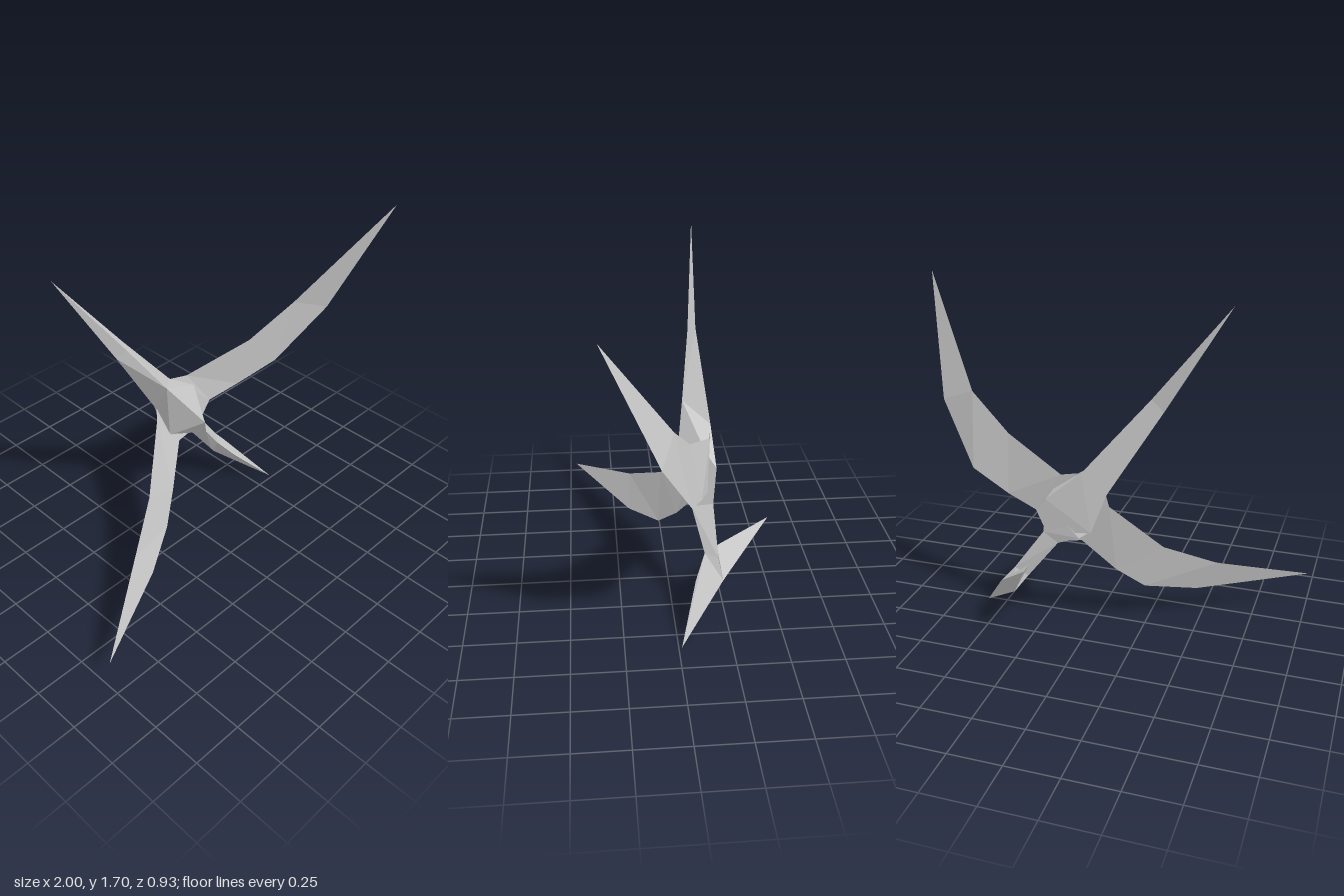
import * as THREE from 'three';
import { ConvexGeometry } from 'three/addons/geometries/ConvexGeometry.js';

export function createModel() {
  const group = new THREE.Group();
  const grey = new THREE.MeshStandardMaterial({ color: 0xcccccc, side: THREE.DoubleSide });
  grey.name = 'plain grey';
  grey.flatShading = true;

  const add = (name, geometry) => {
    const mesh = new THREE.Mesh(geometry, grey);
    mesh.name = name;
    group.add(mesh);
  };
  // Faceted solid wrapped around a few corner points
  const solid = (name, points) =>
    add(name, new ConvexGeometry(points.map(p => new THREE.Vector3(...p))));
  // Thin sheet lofted between a leading and a trailing edge
  const sheet = (name, lead, trail) => {
    const pos = [];
    for (let i = 0; i < lead.length - 1; i++) {
      pos.push(...lead[i], ...trail[i], ...trail[i + 1]);
      pos.push(...lead[i], ...trail[i + 1], ...lead[i + 1]);
    }
    const g = new THREE.BufferGeometry();
    g.setAttribute('position', new THREE.Float32BufferAttribute(pos, 3));
    g.computeVertexNormals();
    add(name, g);
  };

  // Shared cross-sections from bill to tail
  const billTip = [-0.66, 1.7, -0.175];
  const billBase = [[-0.36, 1.19, -0.15], [-0.305, 1.25, -0.163], [-0.32, 1.23, -0.125]];
  const throat = [-0.12, 0.94, -0.08];
  const shoulders = [[0.015, 0.87, -0.205], [-0.105, 0.77, -0.19]];
  const belly = [0.09, 0.65, -0.03];
  const hips = [[0.21, 0.54, -0.2], [0.14, 0.485, -0.19], [0.17, 0.51, -0.1]];
  const tailBase = [[0.36, 0.33, -0.21], [0.3, 0.28, -0.19], [0.31, 0.33, -0.15]];
  const notch = [[0.43, 0.25, -0.225], [0.36, 0.2, -0.225]];

  // Bill, neck and body
  solid('bill', [billTip, ...billBase]);
  solid('neck', [...billBase, ...shoulders, throat]);
  solid('body', [
    throat, ...shoulders, belly, [0.19, 0.72, -0.215], [0.15, 0.78, -0.17],
    [-0.03, 0.565, -0.16], [-0.03, 0.565, -0.2], hips[0],
  ]);
  solid('rump', [belly, [-0.03, 0.565, -0.17], [0.03, 0.53, -0.2], [0.19, 0.72, -0.21], ...hips]);

  // Tail with two forked fins
  solid('tail', [...hips, ...tailBase]);
  solid('tailEnd', [...tailBase, ...notch]);
  solid('leftTailFin', [tailBase[2], [0.39, 0.23, -0.1], ...notch, [0.6, 0.005, -0.015]]);
  solid('rightTailFin', [[0.285, 0.355, -0.21], ...notch, [0.21, 0.455, -0.465]]);

  // Swept wings, listed from tip to root
  sheet('leftWing',
    [[1, 1.655, 0.34], [0.66, 1.135, 0.03], [0.435, 0.97, -0.06], [0.12, 0.845, -0.19], [0.015, 0.87, -0.2], [0.015, 0.8, -0.2]],
    [[1, 1.655, 0.34], [0.85, 1.055, 0.095], [0.635, 0.76, -0.05], [0.42, 0.68, -0.12], [0.26, 0.635, -0.165], [0.21, 0.54, -0.175]]);
  sheet('rightWing',
    [[-1, 0.175, 0.46], [-0.575, 0.315, 0.165], [-0.335, 0.44, 0.01], [-0.11, 0.7, -0.165], [-0.1, 0.76, -0.18], [0, 0.65, -0.18]],
    [[-1, 0.175, 0.46], [-0.475, 0.15, 0.175], [-0.24, 0.2, 0.03], [-0.115, 0.315, -0.055], [0.03, 0.5, -0.155], [0.14, 0.49, -0.18]]);

  return group;
}
